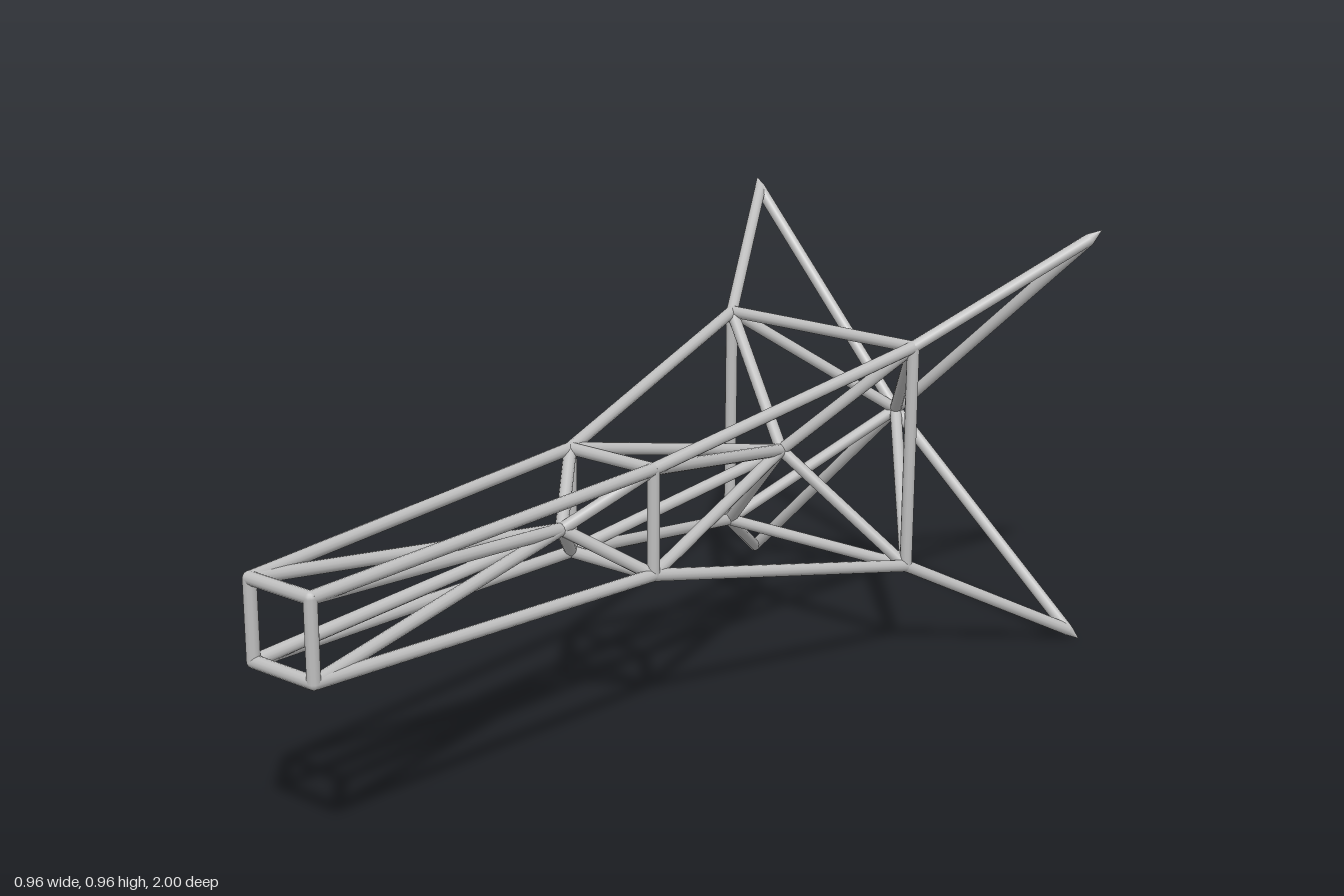
import * as THREE from 'three';

const R = 0.0135;   // tube radius
const CY = 0.477;   // height of the long axis

export function createModel() {
  const model = new THREE.Group();
  model.name = 'spaceFrame';
  const steel = new THREE.MeshStandardMaterial({ color: 0xbebebe });
  steel.name = 'lightSteelGrey';
  const up = new THREE.Vector3(0, 1, 0);

  // round bar between two points, optionally tapering to a point
  function bar(name, a, b, startRadius = R, endRadius = R) {
    const dir = b.clone().sub(a);
    const mesh = new THREE.Mesh(new THREE.CylinderGeometry(endRadius, startRadius, dir.length(), 12), steel);
    mesh.position.copy(a).add(b).multiplyScalar(0.5);
    mesh.quaternion.setFromUnitVectors(up, dir.normalize());
    mesh.name = name;
    model.add(mesh);
  }

  // rounded joint where bars meet
  function joint(p) {
    const mesh = new THREE.Mesh(new THREE.SphereGeometry(R, 12, 8), steel);
    mesh.position.copy(p);
    mesh.name = 'joint';
    model.add(mesh);
  }

  // four corners of a square station along the axis
  const square = (half, z) => [[1, 1], [-1, 1], [-1, -1], [1, -1]]
    .map(([x, y]) => new THREE.Vector3(x * half, CY + y * half, z));
  const stations = [
    square(0.081, 0.987),
    square(0.113, 0.087),
    square(0.251, -0.62),
    square(0.457, -0.984),
  ];
  // hubs on the axis, one in each bay
  const hubs = [0.24, -0.485, -0.925].map((z) => new THREE.Vector3(0, CY, z));

  stations.forEach((corners, s) => {
    corners.forEach((c, i) => {
      joint(c);
      // the rear tips stay open, the other stations are closed frames
      if (s < 3) {
        bar('frameBar', c, corners[(i + 1) % 4]);
        bar('longeron', c, stations[s + 1][i]);
        bar('frontBrace', c, hubs[s]);
        bar('rearBrace', stations[s + 1][i], hubs[s]);
      }
    });
  });
  hubs.forEach(joint);

  // pointed mitres where each rear longeron and brace meet
  stations[3].forEach((tip, i) => {
    const along = tip.clone().sub(stations[2][i]).normalize()
      .add(tip.clone().sub(hubs[2]).normalize()).normalize();
    bar('rearTip', tip.clone().addScaledVector(along, 0.005),
      tip.clone().addScaledVector(along, 0.035), 0.0125, 0.0005);
  });
  return model;
}
